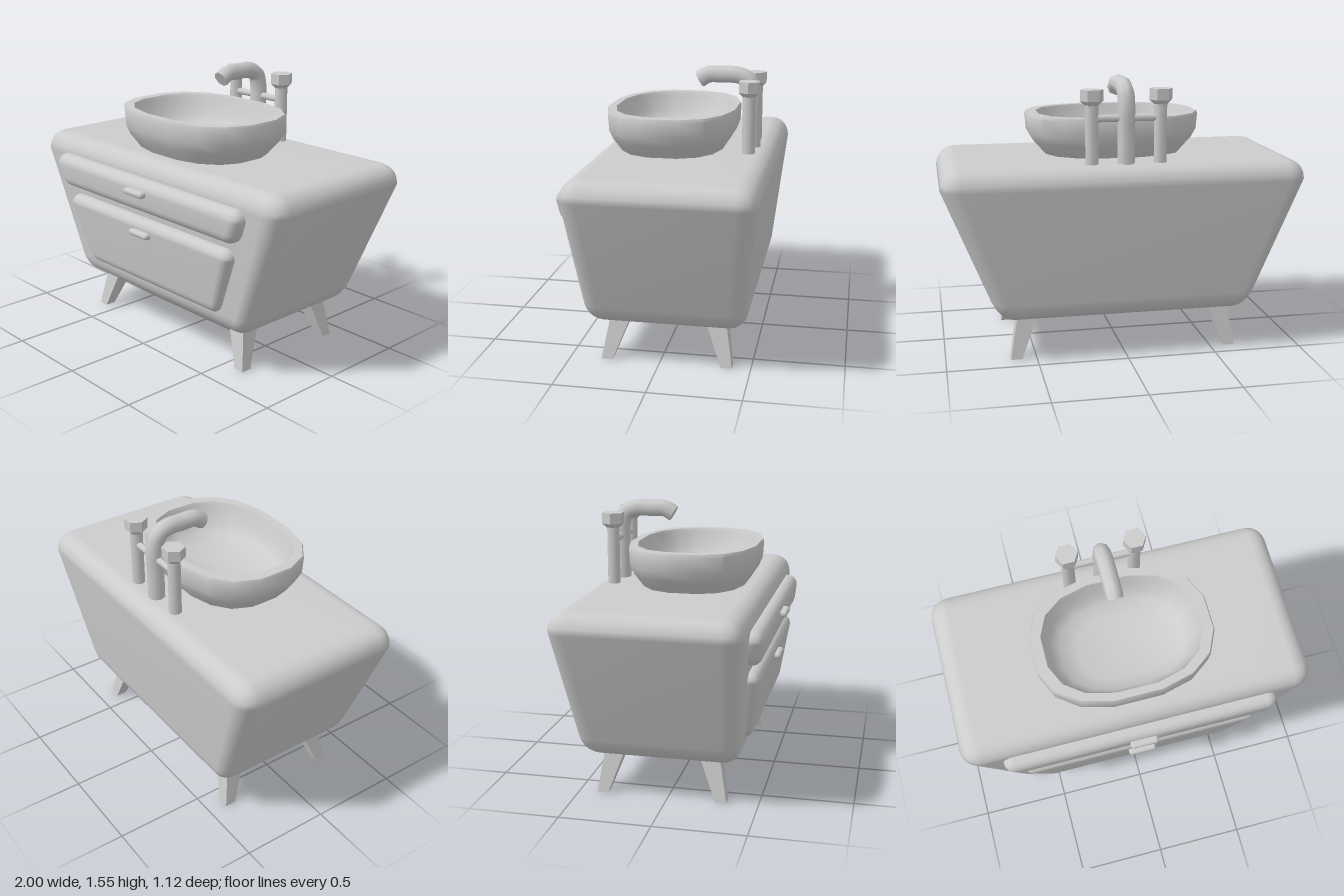
import * as THREE from 'three';
import { mergeVertices, toCreasedNormals } from 'three/addons/utils/BufferGeometryUtils.js';
import { RoundedBoxGeometry } from 'three/addons/geometries/RoundedBoxGeometry.js';

const material = new THREE.MeshStandardMaterial({ color: 0xcccccc });

function add(parent, name, geometry, x = 0, y = 0, z = 0) {
  const mesh = new THREE.Mesh(geometry, material);
  mesh.name = name;
  mesh.position.set(x, y, z);
  parent.add(mesh);
  return mesh;
}

// Move every vertex by a rule
function warp(geometry, rule) {
  const p = geometry.attributes.position;
  const v = new THREE.Vector3();
  for (let i = 0; i < p.count; i++) {
    v.fromBufferAttribute(p, i);
    rule(v);
    p.setXYZ(i, v.x, v.y, v.z);
  }
  return geometry;
}

// Drop seams so that normals run smoothly over the whole surface
function weld(geometry) {
  geometry.deleteAttribute('uv');
  geometry.deleteAttribute('normal');
  geometry.clearGroups();
  const welded = mergeVertices(geometry, 1e-5);
  welded.computeVertexNormals();
  return welded;
}

// Soft-edged box that narrows downwards: slopes are inset per unit of height
function taperedBox({ width, bottom, top, back, front, radius, sideSlope, frontSlope, backSlope }) {
  const height = top - bottom, depth = front - back;
  const geometry = new RoundedBoxGeometry(width, height, depth, 3, radius);
  warp(geometry, v => {
    v.y += (top + bottom) / 2;
    const drop = Math.max(0, top - radius - v.y);
    const t = v.z / depth + 0.5;
    v.x *= 1 - (sideSlope * drop) / (width / 2);
    v.z = back + t * depth + (1 - t) * backSlope * drop - t * frontSlope * drop;
  });
  return weld(geometry);
}

// Splayed square leg; sx and sz choose the corner
function legGeometry(sx, sz) {
  const topZ = sz > 0 ? 0.22 : -0.30, footZ = sz > 0 ? 0.295 : -0.368;
  const geometry = warp(new THREE.BoxGeometry(1, 1, 1), v => {
    const t = v.y + 0.5;
    const size = THREE.MathUtils.lerp(0.062, 0.115, t);
    v.x = v.x * size + sx * THREE.MathUtils.lerp(0.612, 0.54, t);
    v.z = v.z * size + THREE.MathUtils.lerp(footZ, topZ, t);
    v.y = t * 0.26;
  });
  geometry.computeVertexNormals();
  return geometry;
}

// Sixteen-sided oval bowl with a flat rim
function basinGeometry() {
  const profile = [
    [0.78, 1.08], [0.84, 1.115], [0.93, 1.165], [0.985, 1.215], [1, 1.305], [0.985, 1.32],
    [0.87, 1.32], [0.85, 1.3], [0.79, 1.22], [0.69, 1.165], [0.5, 1.135], [0, 1.125],
  ].map(([r, y]) => new THREE.Vector2(r, y));
  const oval = a => Math.sign(a) * Math.abs(a) ** 0.8 / 0.984;
  const geometry = warp(new THREE.LatheGeometry(profile, 16, Math.PI / 16), v => {
    const r = Math.hypot(v.x, v.z);
    if (r < 1e-6) return;
    v.x = 0.49 * r * oval(v.x / r);
    v.z = 0.365 * r * oval(v.z / r);
  });
  return toCreasedNormals(weld(geometry), 0.7);
}

export function createModel() {
  const model = new THREE.Group();
  model.name = 'washstand';

  // Cabinet body
  add(model, 'cabinet', taperedBox({
    width: 2, bottom: 0.23, top: 1.09, back: -0.555, front: 0.46, radius: 0.11,
    sideSlope: 0.4, frontSlope: 0.08, backSlope: 0.11,
  }));

  // Drawers and their pulls
  add(model, 'upperDrawer', taperedBox({
    width: 1.57, bottom: 0.795, top: 0.99, back: 0.3, front: 0.527, radius: 0.06,
    sideSlope: 0.4, frontSlope: 0.1, backSlope: 0,
  }));
  add(model, 'lowerDrawer', taperedBox({
    width: 1.38, bottom: 0.345, top: 0.75, back: 0.28, front: 0.5, radius: 0.055,
    sideSlope: 0.4, frontSlope: 0.15, backSlope: 0,
  }));
  for (const [name, y, z] of [['upperPull', 0.922, 0.535], ['lowerPull', 0.675, 0.505]]) {
    add(model, name, new RoundedBoxGeometry(0.16, 0.036, 0.055, 2, 0.017), 0, y, z);
  }

  // Legs
  for (const sx of [-1, 1]) {
    for (const sz of [-1, 1]) {
      add(model, `${sz > 0 ? 'front' : 'back'}${sx > 0 ? 'Left' : 'Right'}Leg`, legGeometry(sx, sz));
    }
  }

  // Basin
  add(model, 'basin', basinGeometry(), 0, 0, 0.03);

  // Tap: two valve posts, a cross pipe and a bent spout
  const tap = new THREE.Group();
  tap.name = 'tap';
  tap.position.z = -0.415;
  model.add(tap);
  for (const sx of [-1, 1]) {
    const valve = new THREE.Group();
    valve.name = sx > 0 ? 'leftValve' : 'rightValve';
    valve.position.x = sx * 0.188;
    tap.add(valve);
    add(valve, 'post', new THREE.CylinderGeometry(0.036, 0.036, 0.35, 8), 0, 1.25, 0);
    const knob = new THREE.LatheGeometry(
      [[0, 1.405], [0.036, 1.405], [0.063, 1.43], [0.063, 1.49], [0, 1.49]].map(p => new THREE.Vector2(...p)),
      6, Math.PI / 6);
    add(valve, 'knob', toCreasedNormals(weld(knob), 0.3));
  }
  const pipe = new THREE.CylinderGeometry(0.02, 0.02, 0.376, 8);
  pipe.rotateZ(Math.PI / 2);
  add(tap, 'crossPipe', pipe, 0, 1.335, 0);

  const path = new THREE.CatmullRomCurve3([
    [1.08, 0], [1.25, 0], [1.4, 0], [1.465, 0.022], [1.495, 0.085],
    [1.497, 0.17], [1.495, 0.255], [1.467, 0.305],
  ].map(([y, z]) => new THREE.Vector3(0, y, z)));
  add(tap, 'spout', new THREE.TubeGeometry(path, 32, 0.048, 8));
  const end = add(tap, 'spoutEnd', new THREE.CircleGeometry(0.048, 8));
  const tangent = path.getTangentAt(1);
  end.position.copy(path.getPointAt(1));
  end.rotation.x = Math.atan2(-tangent.y, tangent.z);

  return model;
}
